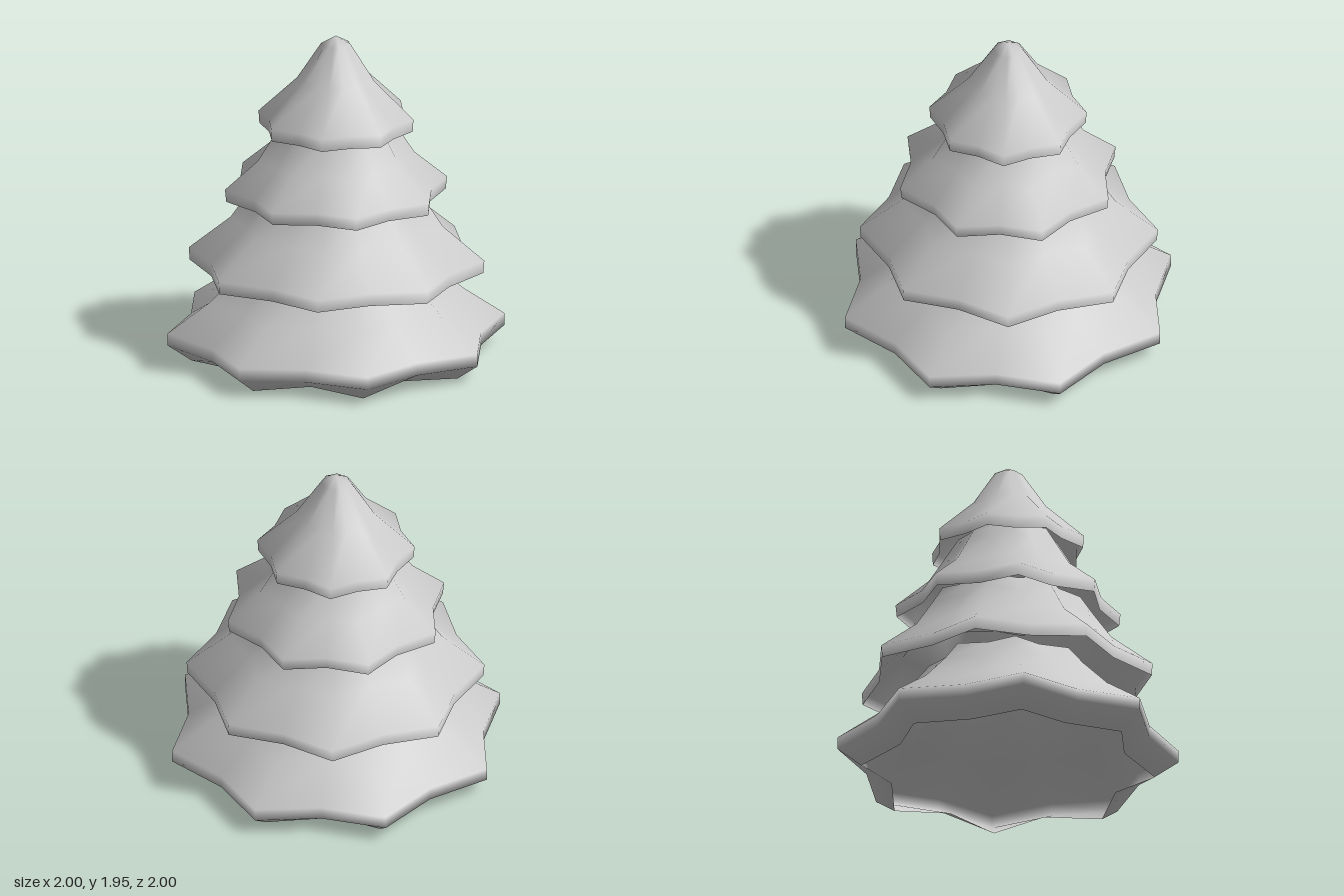
import * as THREE from 'three';
import { mergeVertices } from 'three/addons/utils/BufferGeometryUtils.js';

const SIDES = 16; // eight tips alternating with eight valleys
const material = new THREE.MeshStandardMaterial({ color: 0xcccccc, side: THREE.DoubleSide });

// Star-shaped shell from rings of [tipRadius, valleyRadius, tipY, valleyY]
function makeTier(name, turn, rings) {
  const positions = [];
  const index = [];
  rings.forEach(([tip, valley, tipY, valleyY = tipY], j) => {
    for (let i = 0; i < SIDES; i++) {
      const a = turn + (i / SIDES) * Math.PI * 2;
      const r = i % 2 ? valley : tip;
      positions.push(r * Math.cos(a), i % 2 ? valleyY : tipY, r * Math.sin(a));
      if (j === rings.length - 1) continue;
      const next = (i + 1) % SIDES;
      const p = j * SIDES + i;
      const q = j * SIDES + next;
      index.push(p, p + SIDES, q);
      if (rings[j + 1][0] > 0) index.push(q, p + SIDES, q + SIDES);
    }
  });
  let geometry = new THREE.BufferGeometry();
  geometry.setAttribute('position', new THREE.Float32BufferAttribute(positions, 3));
  geometry.setIndex(index);
  geometry = mergeVertices(geometry, 1e-4);
  geometry.computeVertexNormals();
  const mesh = new THREE.Mesh(geometry, material);
  mesh.name = name;
  return mesh;
}

export function createModel() {
  const tree = new THREE.Group();
  tree.name = 'pineTree';
  const deg = Math.PI / 180;

  // Widest skirt, with its lip turned under
  tree.add(makeTier('bottomBranches', 0, [
    [0.86, 0.71, 0, 0.02],
    [1.0, 0.865, 0.1],
    [1.0, 0.865, 0.175],
    [0.75, 0.63, 0.35],
    [0.57, 0.48, 0.53],
    [0.46, 0.39, 0.66],
  ]));

  // Second skirt, twisted and tilted very slightly
  const second = makeTier('lowerMiddleBranches', 18 * deg, [
    [0.865, 0.757, 0.525],
    [0.87, 0.76, 0.6],
    [0.625, 0.545, 0.8],
    [0.51, 0.43, 0.97],
    [0.44, 0.37, 1.08],
  ]);
  second.rotation.x = -0.01;
  tree.add(second);

  // Third skirt
  tree.add(makeTier('upperMiddleBranches', 0, [
    [0.652, 0.56, 0.965],
    [0.66, 0.57, 1.04],
    [0.465, 0.4, 1.205],
    [0.35, 0.3, 1.385],
    [0.29, 0.25, 1.48],
  ]));

  // Pointed top
  tree.add(makeTier('topBranches', 21 * deg, [
    [0.455, 0.4, 1.385],
    [0.46, 0.4, 1.46],
    [0.23, 0.2, 1.68],
    [0.088, 0.08, 1.9],
    [0, 0, 1.95],
  ]));

  return tree;
}
